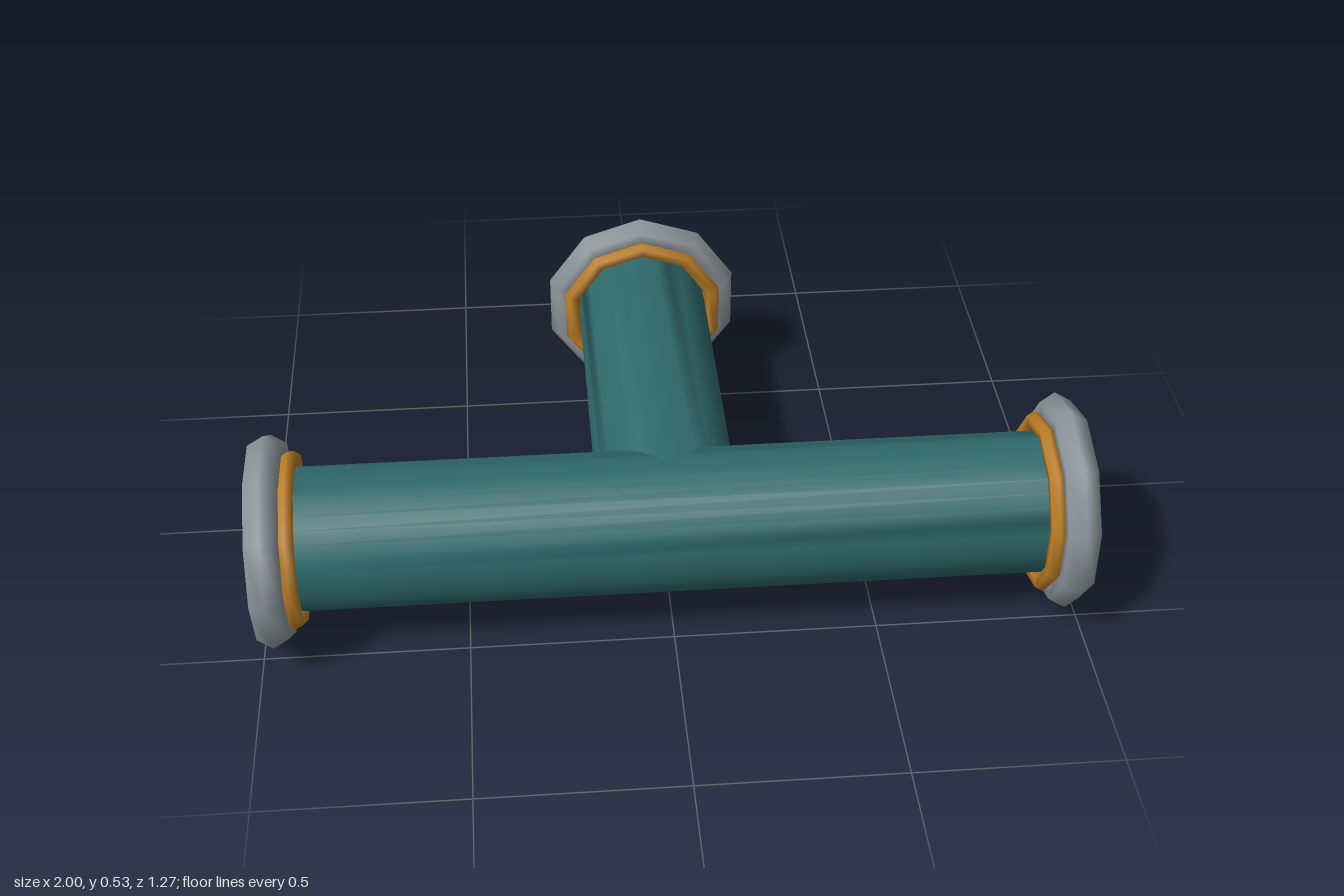
import * as THREE from 'three';
import { mergeVertices } from 'three/addons/utils/BufferGeometryUtils.js';

const AXIS_Y = 0.265, MAIN_Z = 0.37, PIPE_R = 0.174;

export function createModel() {
  const teal = new THREE.MeshStandardMaterial({ color: 0x2f696b });
  teal.name = 'teal pipe';
  const grey = new THREE.MeshStandardMaterial({ color: 0x8d959b });
  grey.name = 'grey flange';
  const gold = new THREE.MeshStandardMaterial({ color: 0xbd7f26 });
  gold.name = 'gold gasket';

  const model = new THREE.Group();
  model.name = 'pipeTee';

  // closed pipe along +z from the origin; shared rim vertices give softly shaded ends
  function pipe(name, length) {
    const points = [];
    for (let i = 0; i < 32; i++) {
      const a = (i / 32) * Math.PI * 2;
      points.push(new THREE.Vector2(Math.cos(a) * PIPE_R, Math.sin(a) * PIPE_R));
    }
    let geo = new THREE.ExtrudeGeometry(new THREE.Shape(points), { depth: length, bevelEnabled: false });
    geo.deleteAttribute('normal');
    geo.deleteAttribute('uv');
    geo.clearGroups();
    geo = mergeVertices(geo, 1e-4);
    geo.computeVertexNormals();
    const mesh = new THREE.Mesh(geo, teal);
    mesh.name = name;
    model.add(mesh);
    return mesh;
  }

  // straight run along x and the branch towards the back
  const run = pipe('mainPipe', 1.92);
  run.rotation.y = Math.PI / 2;
  run.position.set(-0.96, AXIS_Y, MAIN_Z);
  const branch = pipe('branchPipe', 0.965);
  branch.position.set(0, AXIS_Y, -0.595);

  // coarse ring whose axis is local z
  function ring(name, radius, tube, z, material) {
    const mesh = new THREE.Mesh(new THREE.TorusGeometry(radius, tube, 6, 10), material);
    mesh.name = name;
    mesh.position.z = z;
    return mesh;
  }

  // flange and gasket at each opening; local +z points out of the pipe
  function pipeEnd(name, x, z, turn, roll) {
    const end = new THREE.Group();
    end.name = name;
    const flange = ring('flange', 0.22, 0.045, 0, grey);
    const gasket = ring('gasket', 0.201, 0.021, -0.053, gold);
    flange.rotation.z = gasket.rotation.z = roll;
    end.add(flange, gasket);
    end.position.set(x, AXIS_Y, z);
    end.rotation.y = turn;
    model.add(end);
  }
  pipeEnd('leftEnd', 0.961, MAIN_Z, Math.PI / 2, Math.PI / 2);
  pipeEnd('rightEnd', -0.961, MAIN_Z, -Math.PI / 2, 0);
  pipeEnd('backEnd', 0, -0.596, Math.PI, Math.PI / 2);

  return model;
}
